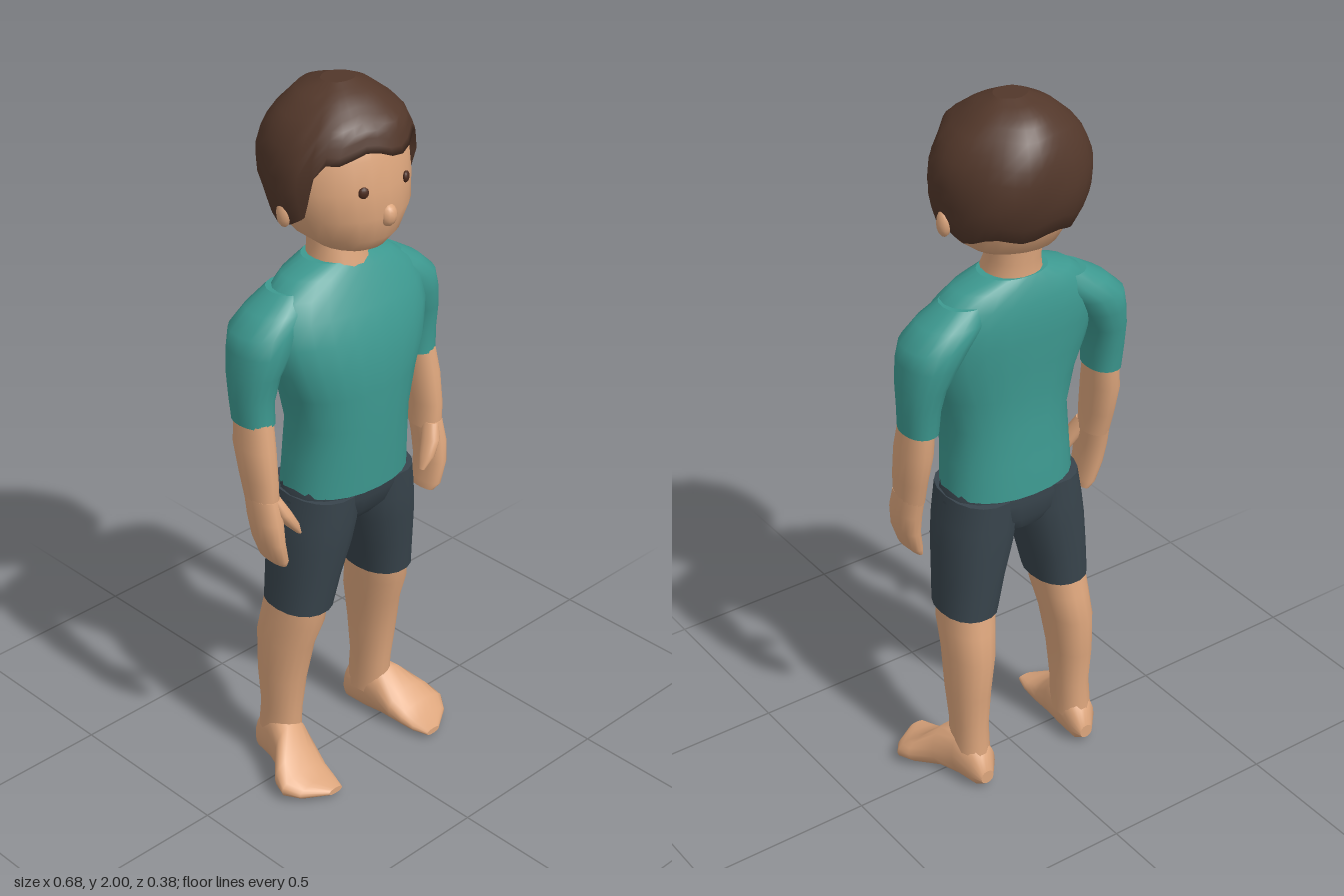
import * as THREE from 'three';

const mat = (name, color) => {
  const m = new THREE.MeshStandardMaterial({ color });
  m.name = name;
  return m;
};

// Joins rings of points (ascending) into a smooth skin with flat end caps
function stitch(rings, capStart = true, capEnd = true) {
  const n = rings[0].length, pos = rings.flat(2), idx = [];
  for (let i = 0; i < rings.length - 1; i++) {
    for (let j = 0; j < n; j++) {
      const a = i * n + j, b = i * n + (j + 1) % n;
      idx.push(a, a + n, b, b, a + n, b + n);
    }
  }
  const cap = (ring, end) => {
    const base = pos.length / 3, mid = [0, 1, 2].map(k => ring.reduce((s, p) => s + p[k], 0) / n);
    pos.push(...ring.flat(), ...mid);
    for (let j = 0; j < n; j++) {
      const a = base + j, b = base + (j + 1) % n;
      end ? idx.push(b, a, base + n) : idx.push(a, b, base + n);
    }
  };
  if (capStart) cap(rings[0], false);
  if (capEnd) cap(rings[rings.length - 1], true);
  const g = new THREE.BufferGeometry();
  g.setAttribute('position', new THREE.Float32BufferAttribute(pos, 3));
  g.setIndex(idx);
  g.computeVertexNormals();
  return g;
}

const bulge = (v, p) => Math.sign(v) * Math.abs(v) ** p;

// Section along y: [y, centre x, half width, back z, front z]
// Section along z: [z, centre x, half width, low y, high y]
function loft(sections, { axis = 'y', side = 1, sides = 18, power = 0.9 } = {}) {
  return stitch(sections.map(([t, cx, r, lo, hi]) => Array.from({ length: sides }, (_, j) => {
    const a = j / sides * Math.PI * 2;
    const x = side * cx + r * bulge(Math.cos(a), power);
    const s = (hi - lo) / 2 * bulge(Math.sin(a), power), c = (lo + hi) / 2;
    return axis === 'y' ? [x, t, c + s] : [x, c - s, t];
  })));
}

// Hair shell whose lower edge is high over the face and low at the sides and back
function hairGeometry() {
  const profile = [ // y, half width, back z, front z
    [1.64, 0.175, -0.14, 0.15], [1.70, 0.197, -0.172, 0.17], [1.77, 0.21, -0.195, 0.18],
    [1.85, 0.205, -0.192, 0.182], [1.92, 0.168, -0.168, 0.165], [1.975, 0.1, -0.115, 0.09],
    [2.0, 0.045, -0.045, 0.035]];
  const n = 36, rows = 12, rings = [];
  const point = (y, a, scale) => {
    let k = 0;
    while (k < profile.length - 2 && y > profile[k + 1][0]) k++;
    const p = profile[k], q = profile[k + 1], f = (y - p[0]) / (q[0] - p[0]);
    const [, rx, zb, zf] = p.map((v, i) => v + (q[i] - v) * f);
    const lump = scale * (1 + 0.025 * Math.sin(5 * a + y * 14));
    return [rx * lump * Math.cos(a), y, (zb + zf) / 2 + (zf - zb) / 2 * lump * Math.sin(a)];
  };
  for (let i = -1; i <= rows; i++) {
    rings.push(Array.from({ length: n }, (_, j) => {
      const a = j / n * Math.PI * 2;
      const front = THREE.MathUtils.smoothstep(Math.sin(a), 0.3, 0.62);
      const edge = 1.675 + 0.18 * front + 0.012 * Math.sin(7 * a + 1);
      const t = Math.max(i, 0) / rows;
      return point(edge + (2 - edge) * Math.sin(t * Math.PI / 2), a, i < 0 ? 0.86 : 1);
    }));
  }
  return stitch(rings, false, true);
}

export function createModel() {
  const root = new THREE.Group();
  const skin = mat('skin', 0xdca57c), teal = mat('shirt teal', 0x3d9990);
  const slate = mat('shorts slate', 0x38444c), brown = mat('hair brown', 0x52372a);
  const dark = mat('eye brown', 0x4a2a1e);
  brown.side = THREE.DoubleSide;
  const add = (name, geometry, material, parent = root) => {
    const m = new THREE.Mesh(geometry, material);
    m.name = name;
    parent.add(m);
    return m;
  };
  const ball = (name, material, p, s) => {
    const m = add(name, new THREE.SphereGeometry(1, 12, 8), material);
    m.position.set(...p);
    m.scale.set(...s);
    return m;
  };

  // Head and neck
  add('head', loft([
    [1.572, 0, 0.045, 0.01, 0.10], [1.59, 0, 0.09, -0.06, 0.135], [1.625, 0, 0.133, -0.125, 0.163],
    [1.69, 0, 0.172, -0.16, 0.181], [1.76, 0, 0.183, -0.17, 0.174], [1.84, 0, 0.18, -0.17, 0.163],
    [1.91, 0, 0.14, -0.14, 0.135], [1.95, 0, 0.08, -0.08, 0.08]], { sides: 24, power: 1 }), skin);
  add('neck', loft([
    [1.46, 0, 0.09, -0.09, 0.08], [1.53, 0, 0.078, -0.085, 0.072], [1.57, 0, 0.07, -0.085, 0.055],
    [1.63, 0, 0.075, -0.09, 0.05]]), skin);
  ball('nose', skin, [0, 1.69, 0.172], [0.024, 0.03, 0.022]);
  add('hair', hairGeometry(), brown);

  // Shirt body
  add('shirtBody', loft([
    [0.905, 0, 0.186, -0.12, 0.152], [1.0, 0, 0.18, -0.115, 0.158], [1.1, 0, 0.178, -0.105, 0.163],
    [1.2, 0, 0.205, -0.105, 0.165], [1.28, 0, 0.24, -0.11, 0.164], [1.36, 0, 0.26, -0.115, 0.148],
    [1.42, 0, 0.255, -0.116, 0.125], [1.47, 0, 0.225, -0.11, 0.1], [1.51, 0, 0.17, -0.1, 0.08],
    [1.535, 0, 0.095, -0.088, 0.062]], { sides: 24 }), teal);

  // Shorts waist
  add('shortsWaist', loft([
    [0.79, 0, 0.10, -0.09, 0.09], [0.83, 0, 0.18, -0.11, 0.125], [0.88, 0, 0.2, -0.115, 0.142],
    [0.925, 0, 0.182, -0.112, 0.148]]), slate);

  for (const side of [1, -1]) {
    const label = side > 0 ? 'left' : 'right';
    const part = (name, sections, material, options = {}) =>
      add(label + name, loft(sections, { side, ...options }), material);

    // Face details
    ball(label + 'Eye', dark, [side * 0.073, 1.765, 0.16], [0.014, 0.015, 0.008]).rotation.y = side * 0.4;
    ball(label + 'Ear', skin, [side * 0.192, 1.7, 0.005], [0.018, 0.036, 0.022]);

    // Sleeve, arm and hand
    part('Sleeve', [
      [1.155, 0.292, 0.046, -0.075, 0.052], [1.22, 0.292, 0.05, -0.082, 0.05],
      [1.29, 0.284, 0.058, -0.096, 0.062], [1.35, 0.262, 0.074, -0.108, 0.075],
      [1.4, 0.238, 0.09, -0.112, 0.074], [1.445, 0.19, 0.09, -0.1, 0.065],
      [1.485, 0.15, 0.065, -0.08, 0.045]], teal);
    part('Arm', [
      [0.93, 0.3, 0.034, -0.026, 0.078], [1.0, 0.302, 0.036, -0.045, 0.078],
      [1.09, 0.3, 0.042, -0.066, 0.066], [1.2, 0.292, 0.04, -0.066, 0.044]], skin);
    part('Hand', [
      [0.748, 0.275, 0.012, 0.01, 0.085], [0.77, 0.285, 0.022, 0, 0.1], [0.83, 0.3, 0.029, -0.008, 0.102],
      [0.89, 0.303, 0.034, -0.018, 0.096], [0.95, 0.301, 0.034, -0.03, 0.08]], skin);
    part('Thumb', [
      [0.835, 0.23, 0.006, 0.075, 0.095], [0.87, 0.252, 0.018, 0.06, 0.105],
      [0.91, 0.275, 0.022, 0.045, 0.1], [0.95, 0.29, 0.018, 0.03, 0.08]], skin);

    // Shorts leg
    part('ShortsLeg', [
      [0.55, 0.15, 0.079, -0.106, 0.098], [0.65, 0.136, 0.088, -0.11, 0.112],
      [0.75, 0.118, 0.101, -0.113, 0.128], [0.82, 0.107, 0.103, -0.114, 0.136],
      [0.9, 0.1, 0.095, -0.112, 0.14]], slate);

    // Lower leg
    part('Leg', [
      [0.08, 0.175, 0.048, -0.125, 0.01], [0.19, 0.173, 0.047, -0.115, 0.014],
      [0.3, 0.173, 0.054, -0.124, 0.03], [0.42, 0.165, 0.062, -0.13, 0.052],
      [0.5, 0.157, 0.068, -0.115, 0.08], [0.58, 0.15, 0.07, -0.098, 0.088]], skin);

    // Foot fanning outward to the toes
    part('Foot', [
      [-0.138, 0.172, 0.02, 0.02, 0.06], [-0.115, 0.173, 0.042, 0.005, 0.13],
      [-0.05, 0.18, 0.052, 0.003, 0.17], [0.01, 0.195, 0.062, 0.003, 0.155],
      [0.06, 0.221, 0.083, 0.004, 0.1], [0.1, 0.231, 0.084, 0.005, 0.068],
      [0.14, 0.22, 0.066, 0.008, 0.048], [0.185, 0.193, 0.024, 0.016, 0.034]], skin, { axis: 'z' });
  }
  return root;
}
